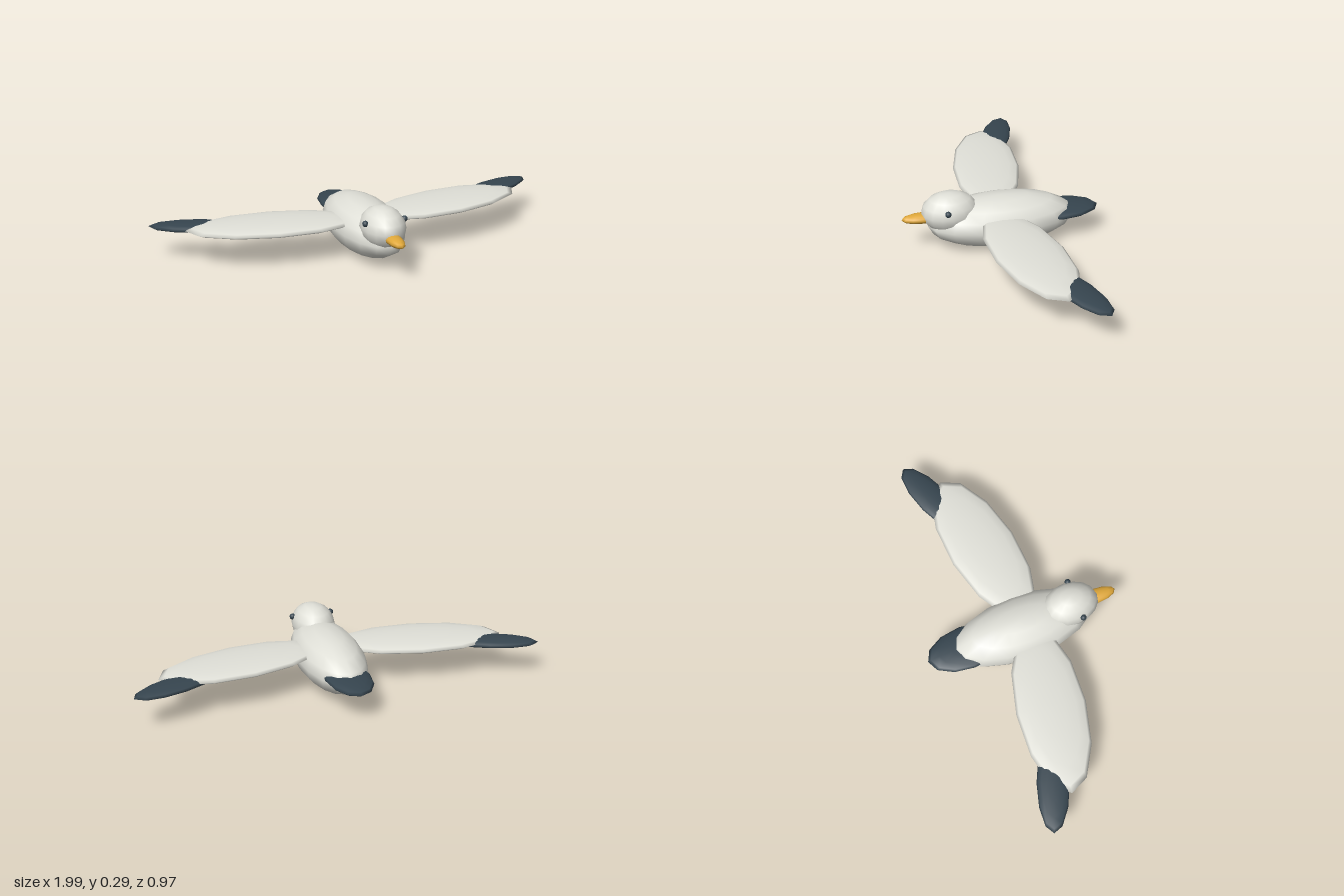
import * as THREE from 'three';

const plumage = new THREE.MeshStandardMaterial({ color: 0xe0e0d8 });
plumage.name = 'pale plumage';
const dark = new THREE.MeshStandardMaterial({ color: 0x36454f });
dark.name = 'dark slate';
const gold = new THREE.MeshStandardMaterial({ color: 0xe0a83a });
gold.name = 'golden beak';

// Smooth ellipsoid with the given half sizes, turned about the vertical axis
function ellipsoid(name, material, position, radii, turn = 0, sides = 12) {
  const mesh = new THREE.Mesh(new THREE.SphereGeometry(1, sides, 8), material);
  mesh.name = name;
  mesh.position.set(...position);
  mesh.scale.set(...radii);
  mesh.rotation.y = turn;
  return mesh;
}

export function createModel() {
  const bird = new THREE.Group();
  bird.name = 'flyingBird';

  // Body, head, beak and tail along the centre line
  bird.add(
    ellipsoid('body', plumage, [0, 0.126, 0], [0.16, 0.126, 0.36], 0, 16),
    ellipsoid('head', plumage, [0, 0.195, 0.25], [0.105, 0.1, 0.14], 0, 16),
    ellipsoid('beak', gold, [0, 0.174, 0.385], [0.038, 0.024, 0.1]),
    ellipsoid('tail', dark, [0, 0.139, -0.285], [0.11, 0.025, 0.2])
  );

  // Mirrored wings, wing tips and eyes
  for (const [side, s] of [['left', 1], ['right', -1]]) {
    bird.add(
      ellipsoid(side + 'Wing', plumage, [s * 0.44, 0.169, -0.03], [0.42, 0.028, 0.168], s * 0.16),
      ellipsoid(side + 'WingTip', dark, [s * 0.775, 0.163, -0.158], [0.236, 0.021, 0.077], s * 0.37),
      ellipsoid(side + 'Eye', dark, [s * 0.098, 0.23, 0.277], [0.015, 0.015, 0.015])
    );
  }
  return bird;
}
